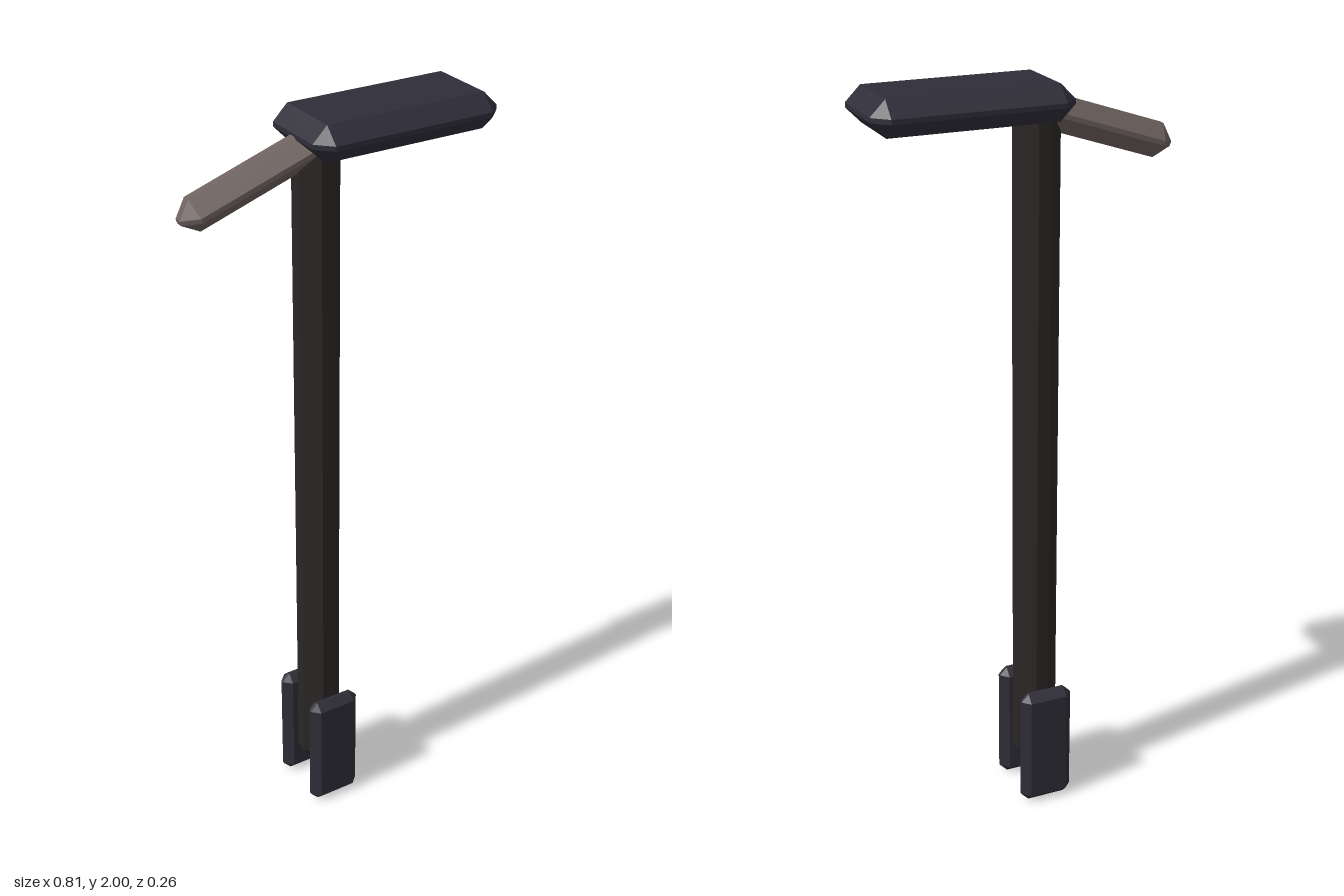
import * as THREE from 'three';
import { ConvexGeometry } from 'three/addons/geometries/ConvexGeometry.js';

// Box with every edge cut at 45 degrees by c
function chamferBox(w, h, d, c) {
  const points = [];
  const [x, y, z] = [w / 2, h / 2, d / 2];
  for (const sx of [-1, 1]) for (const sy of [-1, 1]) for (const sz of [-1, 1]) {
    points.push(
      new THREE.Vector3(sx * x, sy * (y - c), sz * (z - c)),
      new THREE.Vector3(sx * (x - c), sy * y, sz * (z - c)),
      new THREE.Vector3(sx * (x - c), sy * (y - c), sz * z));
  }
  return new ConvexGeometry(points);
}

export function createModel() {
  const model = new THREE.Group();
  model.name = 'hammer';
  const paint = (color) => new THREE.MeshStandardMaterial({ color, flatShading: true });
  const dark = paint(0x2f2d38);
  const shaftMat = paint(0x2a2625);
  const spikeMat = paint(0x6e6260);

  function add(name, size, chamfer, position, material) {
    const mesh = new THREE.Mesh(chamferBox(...size, chamfer), material);
    mesh.name = name;
    mesh.position.set(...position);
    model.add(mesh);
    return mesh;
  }

  // Long block at the top
  add('head', [0.512, 0.09, 0.256], 0.039, [0.151, 1.955, 0], dark);

  // Eight-sided shaft with a pointed foot
  add('shaft', [0.115, 1.87, 0.112], 0.04, [-0.043, 1.025, 0], shaftMat);

  // Spike sloping down from behind the head
  const tilt = 0.322, length = 0.4;
  const spike = add('spike', [length, 0.088, 0.096], 0.038,
    [-0.405 + Math.cos(tilt) * length / 2, 1.808 + Math.sin(tilt) * length / 2, 0], spikeMat);
  spike.rotation.z = tilt;

  // Pair of grip plates either side of the foot
  for (const s of [-1, 1]) {
    add(s > 0 ? 'frontPlate' : 'backPlate', [0.146, 0.343, 0.05], 0.021, [-0.043, 0.1715, s * 0.077], dark);
  }
  return model;
}
